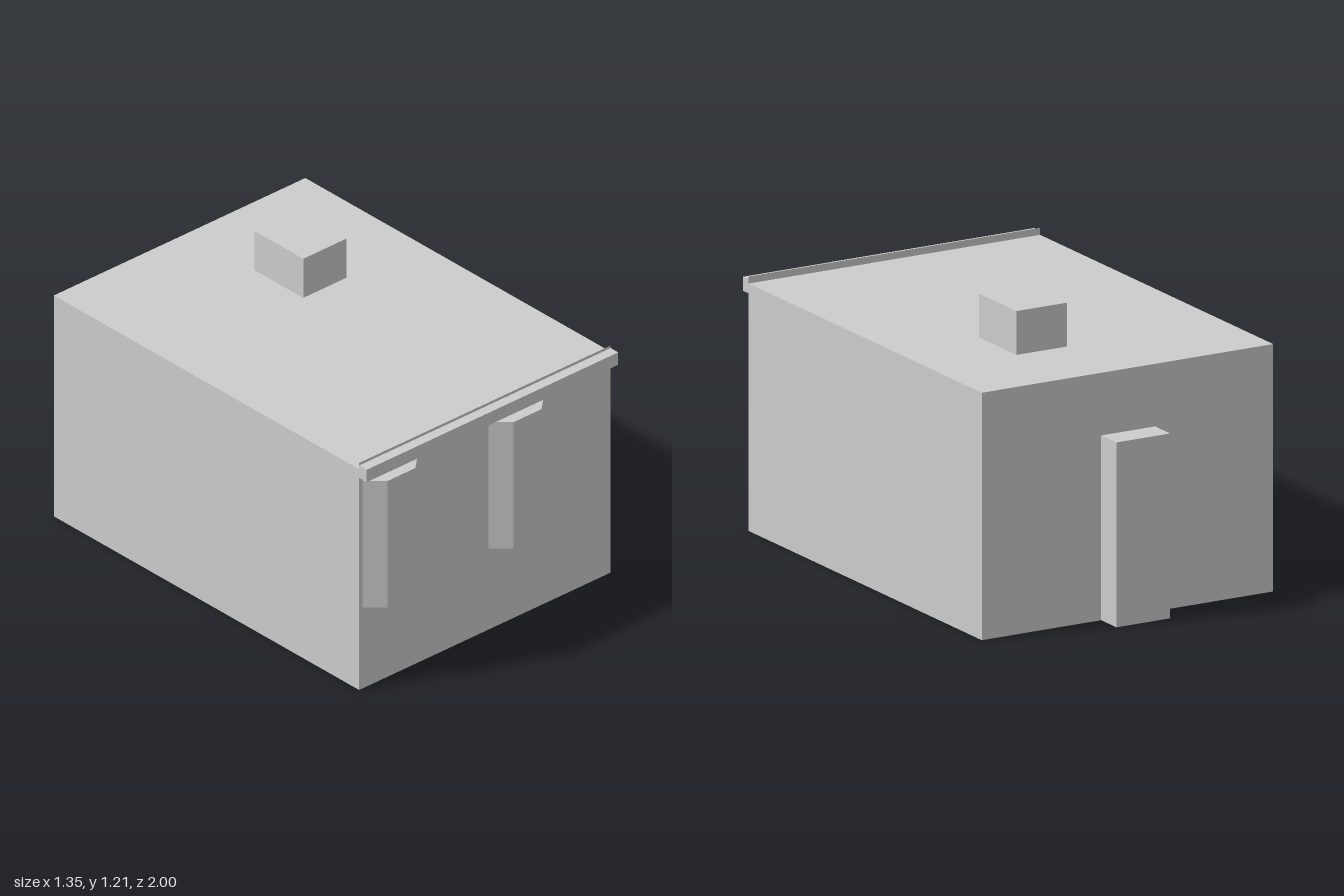
import * as THREE from 'three';

const W = 0.677, FRONT = 0.932, BACK = -0.882, ROOF = 1.028;

// Box between two corners, leaving out faces by index (+x, -x, +y, -y, +z, -z)
function openBox([x0, y0, z0], [x1, y1, z1], omit) {
  const g = new THREE.BoxGeometry(x1 - x0, y1 - y0, z1 - z0);
  const index = Array.from(g.index.array);
  g.setIndex(index.filter((_, i) => !omit.includes(Math.floor(i / 6))));
  g.clearGroups();
  g.translate((x0 + x1) / 2, (y0 + y1) / 2, (z0 + z1) / 2);
  return g;
}

export function createModel() {
  const model = new THREE.Group();
  model.name = 'rowHouse';
  const plaster = new THREE.MeshStandardMaterial({ color: 0xcccccc, side: THREE.DoubleSide });
  plaster.name = 'plaster';
  const add = (name, geometry) => {
    const mesh = new THREE.Mesh(geometry, plaster);
    mesh.name = name;
    model.add(mesh);
    return mesh;
  };

  // Hollow shell: side walls, back wall and flat roof, open below
  add('wallsAndRoof', openBox([-W, 0, BACK], [W, ROOF, FRONT], [3, 4]));

  // Thin facade rising slightly above the roof
  const facadeHeight = 1.057;
  add('facade', new THREE.PlaneGeometry(2 * W, facadeHeight)
    .translate(0, facadeHeight / 2, FRONT));

  // Cornice along the top of the facade
  add('cornice', openBox([-W, 0.987, FRONT], [W, 1.045, 0.977], [5]));

  // Rooftop chimney and the flue running up the back wall
  add('chimney', openBox([0.048, ROOF, -0.49], [0.282, 1.21, -0.2], [3]));
  add('backFlue', openBox([-0.128, 0, -1], [0.122, 0.768, BACK], [3, 4]));

  // Two bay windows with slanted cheeks
  const bay = new THREE.Shape([
    [-0.149, -FRONT], [-0.075, -1], [0.075, -1], [0.149, -FRONT],
  ].map(([x, y]) => new THREE.Vector2(x, y)));
  const bayGeometry = new THREE.ExtrudeGeometry(bay, { depth: 0.588, bevelEnabled: false })
    .rotateX(-Math.PI / 2);
  for (const [name, x] of [['rightBayWindow', -0.511], ['leftBayWindow', 0.168]]) {
    add(name, bayGeometry).position.set(x, 0.378, 0);
  }

  return model;
}
